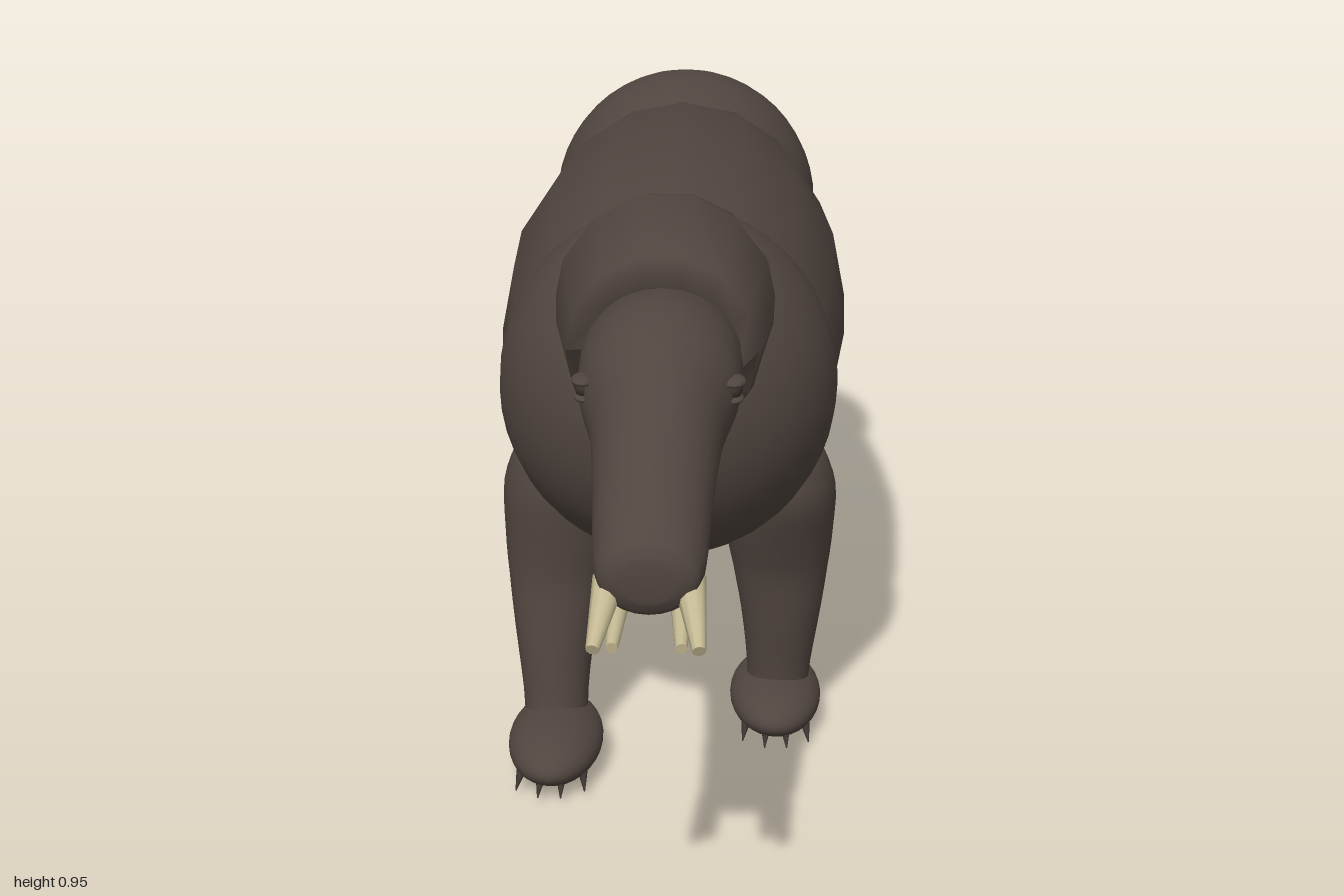
import * as THREE from 'three';

const mat = (name, color) => {
  const m = new THREE.MeshStandardMaterial({ color });
  m.name = name;
  return m;
};

// Skin over elliptical rings [along, x, across, rx, rAcross], ordered upwards along 'z' or 'y'
function loft(rings, axis, sides, sub = 1) {
  const centres = new THREE.CatmullRomCurve3(rings.map(r => new THREE.Vector3(r[1], r[2], r[0])));
  const radii = new THREE.CatmullRomCurve3(rings.map(r => new THREE.Vector3(r[3], r[4], 0)));
  const steps = (rings.length - 1) * sub, pos = [], idx = [];
  const put = (x, across, along) => axis === 'z' ? pos.push(x, across, along) : pos.push(x, along, across);
  const flip = axis === 'z' ? 1 : -1;
  for (let i = 0; i <= steps; i++) {
    const c = centres.getPoint(i / steps), r = radii.getPoint(i / steps);
    for (let j = 0; j < sides; j++) {
      const a = j / sides * Math.PI * 2;
      put(c.x + r.x * Math.cos(a), c.y + flip * r.y * Math.sin(a), c.z);
    }
  }
  for (let i = 0; i < steps; i++) for (let j = 0; j < sides; j++) {
    const k = (j + 1) % sides, a = i * sides + j, b = i * sides + k;
    idx.push(a, b, a + sides, b, b + sides, a + sides);
  }
  // end caps
  const s = rings[0], e = rings[rings.length - 1], n = (steps + 1) * sides;
  put(s[1], s[2], s[0]);
  put(e[1], e[2], e[0]);
  for (let j = 0; j < sides; j++) {
    const k = (j + 1) % sides, o = steps * sides;
    idx.push(n, k, j, n + 1, o + j, o + k);
  }
  const g = new THREE.BufferGeometry();
  g.setAttribute('position', new THREE.Float32BufferAttribute(pos, 3));
  g.setIndex(idx);
  g.computeVertexNormals();
  return g;
}

export function createModel() {
  const model = new THREE.Group();
  model.name = 'tuskedBeast';
  const hide = mat('brownHide', 0x50453f);
  const ivory = mat('ivory', 0xc4b993);
  const dark = mat('darkHorn', 0x3a322d);

  const add = (name, geo, material = hide) => {
    const m = new THREE.Mesh(geo, material);
    m.name = name;
    model.add(m);
    return m;
  };
  const ball = (name, p, r, material = hide, seg = 32) => {
    const m = add(name, new THREE.SphereGeometry(1, seg, seg * 0.75), material);
    m.position.set(...p);
    m.scale.set(...r);
    return m;
  };
  const spike = (name, from, to, r0, r1, material) => {
    const a = new THREE.Vector3(...from), d = new THREE.Vector3(...to).sub(a);
    const m = add(name, new THREE.CylinderGeometry(r1, r0, d.length(), 10), material);
    m.position.copy(a).addScaledVector(d, 0.5);
    m.quaternion.setFromUnitVectors(new THREE.Vector3(0, 1, 0), d.normalize());
    return m;
  };

  // Torso: faceted barrel between round chest and rump
  add('barrel', loft([
    [-0.75, 0, 0.65, 0.22, 0.21], [-0.6, 0, 0.645, 0.252, 0.25], [-0.42, 0, 0.64, 0.275, 0.282],
    [-0.2, 0, 0.637, 0.293, 0.293], [0.0, 0, 0.634, 0.285, 0.287], [0.15, 0, 0.625, 0.268, 0.272],
    [0.28, 0, 0.62, 0.235, 0.24],
  ], 'z', 16));
  ball('chest', [0, 0.62, 0.208], [0.267, 0.278, 0.277]);
  ball('rump', [0, 0.678, -0.715], [0.252, 0.252, 0.25]);
  ball('tail', [0, 0.69, -0.962], [0.028, 0.085, 0.038], hide, 16).rotation.x = 0.12;

  // Shoulder hump, ending in a collar behind the head
  add('hump', loft([
    [0.02, 0, 0.74, 0.13, 0.13], [0.12, 0, 0.755, 0.155, 0.147], [0.335, 0, 0.77, 0.17, 0.185],
    [0.475, 0, 0.755, 0.14, 0.145], [0.44, 0, 0.745, 0.115, 0.09],
  ], 'z', 14));

  // Long tapering head
  add('head', loft([
    [0.4, 0, 0.735, 0.11, 0.1], [0.5, 0, 0.74, 0.118, 0.105], [0.57, 0, 0.727, 0.115, 0.106],
    [0.65, 0, 0.695, 0.093, 0.098], [0.78, 0, 0.645, 0.081, 0.078], [0.89, 0, 0.605, 0.074, 0.062],
    [0.925, 0, 0.598, 0.064, 0.05], [0.937, 0, 0.597, 0.035, 0.028],
  ], 'z', 24, 3));

  for (const s of [1, -1]) {
    const side = s > 0 ? 'left' : 'right';
    // Eye with heavy lids
    ball(side + 'Eye', [s * 0.104, 0.738, 0.588], [0.014, 0.014, 0.018], dark, 12);
    ball(side + 'UpperLid', [s * 0.105, 0.75, 0.588], [0.018, 0.007, 0.027], hide, 12);
    ball(side + 'LowerLid', [s * 0.104, 0.725, 0.588], [0.016, 0.006, 0.024], hide, 12);
    // Paired tusks
    spike(side + 'UpperTusk', [s * 0.052, 0.582, 0.89], [s * 0.067, 0.533, 0.998], 0.022, 0.009, ivory);
    spike(side + 'LowerTusk', [s * 0.04, 0.548, 0.84], [s * 0.044, 0.527, 0.98], 0.017, 0.008, ivory);
  }

  // Legs: [y, x, z, rx, rz] from ankle to top
  const foreRings = [
    [0.03, 0.18, 0.15, 0.05, 0.05], [0.1, 0.183, 0.15, 0.053, 0.052], [0.2, 0.185, 0.152, 0.066, 0.064],
    [0.28, 0.183, 0.155, 0.078, 0.07], [0.35, 0.18, 0.16, 0.088, 0.09], [0.43, 0.182, 0.165, 0.088, 0.112],
    [0.49, 0.175, 0.165, 0.075, 0.098], [0.535, 0.165, 0.165, 0.03, 0.04],
  ];
  const hindRings = [
    [0.03, 0.18, -0.68, 0.05, 0.05], [0.1, 0.18, -0.69, 0.055, 0.058], [0.16, 0.178, -0.69, 0.063, 0.068],
    [0.21, 0.174, -0.69, 0.072, 0.084], [0.255, 0.17, -0.69, 0.074, 0.09], [0.32, 0.165, -0.69, 0.092, 0.112],
    [0.4, 0.165, -0.69, 0.102, 0.145], [0.46, 0.165, -0.69, 0.106, 0.14], [0.53, 0.16, -0.69, 0.088, 0.115],
    [0.58, 0.15, -0.69, 0.03, 0.04],
  ];
  // stride shifts the ankle forwards or back, fading out at the top
  const leg = (name, rings, s, stride, footZ) => {
    add(name + 'Leg', loft(rings.map(([y, x, z, rx, rz]) =>
      [y, s * x, z + stride * Math.max(0, 1 - y / 0.42), rx, rz]), 'y', 20, 3));
    ball(name + 'Foot', [s * 0.178, 0.047, footZ], [0.076, 0.045, 0.138]);
    for (let i = 0; i < 4; i++) {
      const u = (i - 1.5) / 1.5, x = s * 0.178 + u * 0.048, z = footZ + 0.122 - 0.025 * u * u;
      spike(name + 'Claw', [x, 0.035, z - 0.02], [x + u * 0.006, 0.016, z + 0.022], 0.009, 0.001, dark);
    }
  };
  leg('leftFront', foreRings, 1, 0, 0.158);
  leg('rightFront', foreRings, -1, 0.15, 0.332);
  leg('leftHind', hindRings, 1, 0, -0.6);
  leg('rightHind', hindRings, -1, -0.1, -0.71);

  return model;
}
